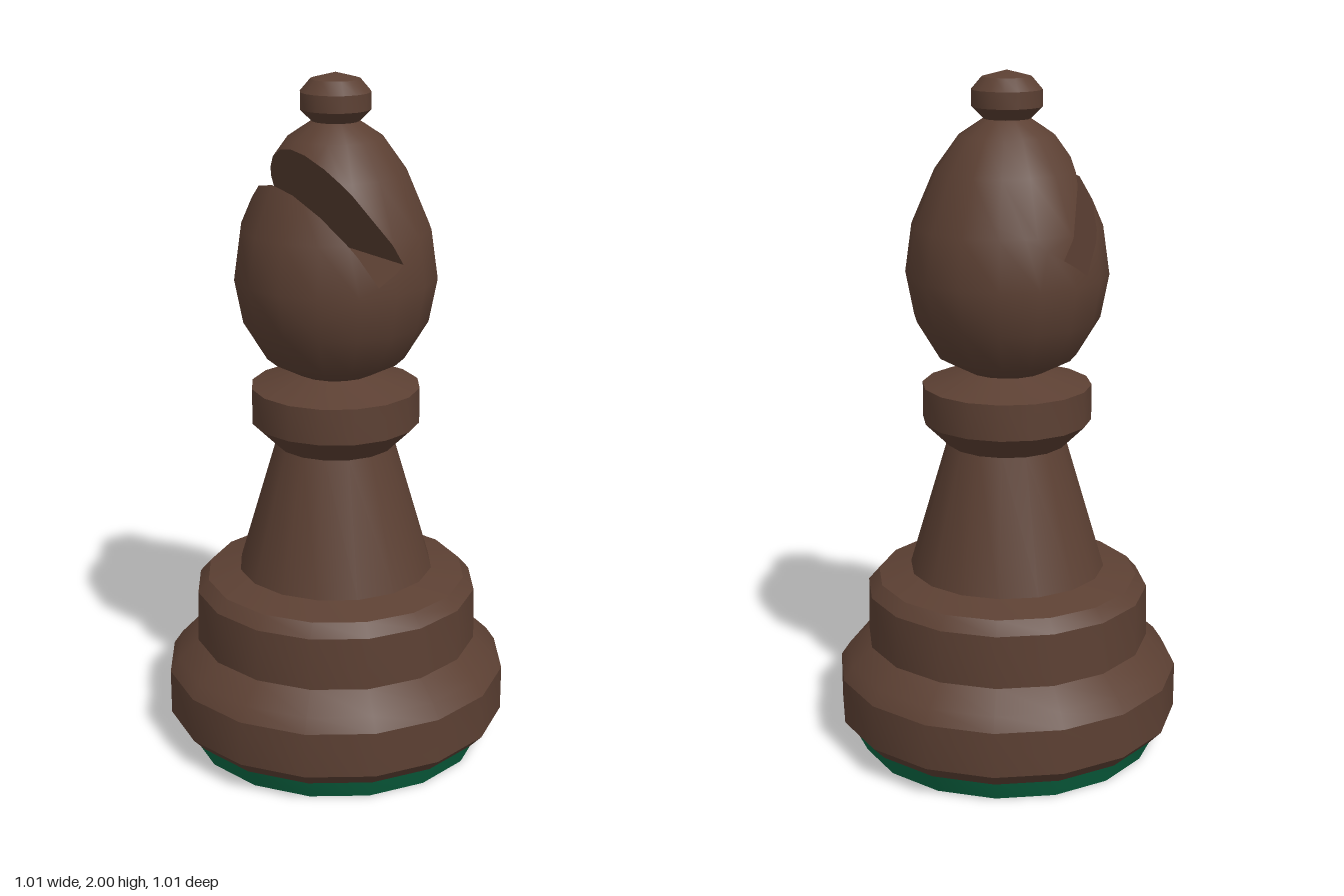
import * as THREE from 'three';
import { toCreasedNormals } from 'three/addons/utils/BufferGeometryUtils.js';

const SIDES = 16;
const brown = new THREE.MeshStandardMaterial({ color: 0x5c4033 });
brown.name = 'dark brown wood';
const green = new THREE.MeshStandardMaterial({ color: 0x0b6b46 });
green.name = 'green felt';

// Turned part from [radius, height] pairs, bottom to top
const lathe = (profile) =>
  new THREE.LatheGeometry(profile.map(([r, y]) => new THREE.Vector2(r, y)), SIDES);

function turned(name, profile, material) {
  const mesh = new THREE.Mesh(toCreasedNormals(lathe(profile), 0.5), material);
  mesh.name = name;
  return mesh;
}

// Keep the part of a polygon of {p, n} corners lying behind a plane
function clip(poly, plane) {
  const out = [];
  poly.forEach((a, i) => {
    const b = poly[(i + 1) % poly.length];
    const da = plane.distanceToPoint(a.p), db = plane.distanceToPoint(b.p);
    if (da <= 0) out.push(a);
    if ((da < 0 && db > 0) || (da > 0 && db < 0)) {
      const t = da / (da - db);
      out.push({ p: a.p.clone().lerp(b.p, t), n: a.n.clone().lerp(b.n, t).normalize() });
    }
  });
  return out;
}

// Convex head with a slanted slot cut into it
function slottedHead(profile) {
  const source = lathe(profile).toNonIndexed();
  const pos = source.attributes.position, nor = source.attributes.normal;
  const tris = [], hull = [];
  for (let i = 0; i < pos.count; i += 3) {
    const tri = [0, 1, 2].map((k) => ({
      p: new THREE.Vector3().fromBufferAttribute(pos, i + k),
      n: new THREE.Vector3().fromBufferAttribute(nor, i + k),
    }));
    const plane = new THREE.Plane().setFromCoplanarPoints(...tri.map((c) => c.p));
    if (plane.normal.length() < 0.5) continue;
    tris.push(tri);
    hull.push(plane);
  }

  // Slot planes: floor faces up the slot, the walls face into it
  const up = new THREE.Vector3(0, 0.85, 0.527);
  const toFront = new THREE.Vector3(0, -0.527, 0.85);
  up.normalize();
  toFront.normalize();
  const floorPoint = new THREE.Vector3(0, 1.455, 0.053);
  const backPoint = new THREE.Vector3(0, 1.508, -0.032);
  const make = (n, p) => new THREE.Plane().setFromNormalAndCoplanarPoint(n, p);
  const floor = make(up, floorPoint);
  const back = make(toFront, backPoint);
  const front = make(toFront.clone().negate(), floorPoint);
  const flip = (plane) => plane.clone().negate();

  const faces = [];
  for (const tri of tris) {
    faces.push(clip(tri, floor));
    const above = clip(tri, flip(floor));
    faces.push(clip(above, back), clip(above, front));
  }

  // Slot faces: large squares trimmed by the head and the other slot planes
  const side = new THREE.Vector3(1, 0, 0);
  function slotFace(plane, point, limits) {
    const v = plane.normal.clone().cross(side);
    let poly = [[-1, -1], [1, -1], [1, 1], [-1, 1]].map(([a, b]) => ({
      p: point.clone().addScaledVector(side, a).addScaledVector(v, b),
      n: plane.normal.clone(),
    }));
    for (const limit of [...hull, ...limits]) poly = clip(poly, limit);
    faces.push(poly);
  }
  slotFace(floor, floorPoint, [flip(back), flip(front)]);
  slotFace(back, backPoint, [flip(floor)]);
  slotFace(front, floorPoint, [flip(floor)]);

  const positions = [], normals = [];
  for (const f of faces) {
    for (let i = 1; i < f.length - 1; i++) {
      for (const c of [f[0], f[i], f[i + 1]]) {
        positions.push(...c.p.toArray());
        normals.push(...c.n.toArray());
      }
    }
  }
  const geometry = new THREE.BufferGeometry();
  geometry.setAttribute('position', new THREE.Float32BufferAttribute(positions, 3));
  geometry.setAttribute('normal', new THREE.Float32BufferAttribute(normals, 3));
  return geometry;
}

export function createModel() {
  const group = new THREE.Group();
  group.name = 'chess bishop';

  group.add(
    turned('feltPad', [[0, 0], [0.44, 0], [0.47, 0.06]], green),
    turned('base', [
      [0.47, 0.06], [0.507, 0.1], [0.507, 0.235], [0.48, 0.275], [0.42, 0.33],
      [0.417, 0.485], [0.385, 0.522], [0.285, 0.547],
    ], brown),
    turned('stem', [[0.29, 0.54], [0.175, 0.93]], brown),
    turned('collar', [[0.17, 0.93], [0.175, 0.93], [0.246, 1.0], [0.246, 1.105], [0.11, 1.148]], brown),
    turned('finial', [
      [0.05, 1.86], [0.065, 1.865], [0.1, 1.9], [0.1, 1.947], [0.07, 1.982], [0, 2],
    ], brown),
  );

  const head = new THREE.Mesh(slottedHead([
    [0.11, 1.145], [0.2, 1.192], [0.268, 1.305], [0.292, 1.43], [0.272, 1.57],
    [0.205, 1.725], [0.135, 1.822], [0.06, 1.872],
  ]), brown);
  head.name = 'slottedHead';
  group.add(head);
  return group;
}
